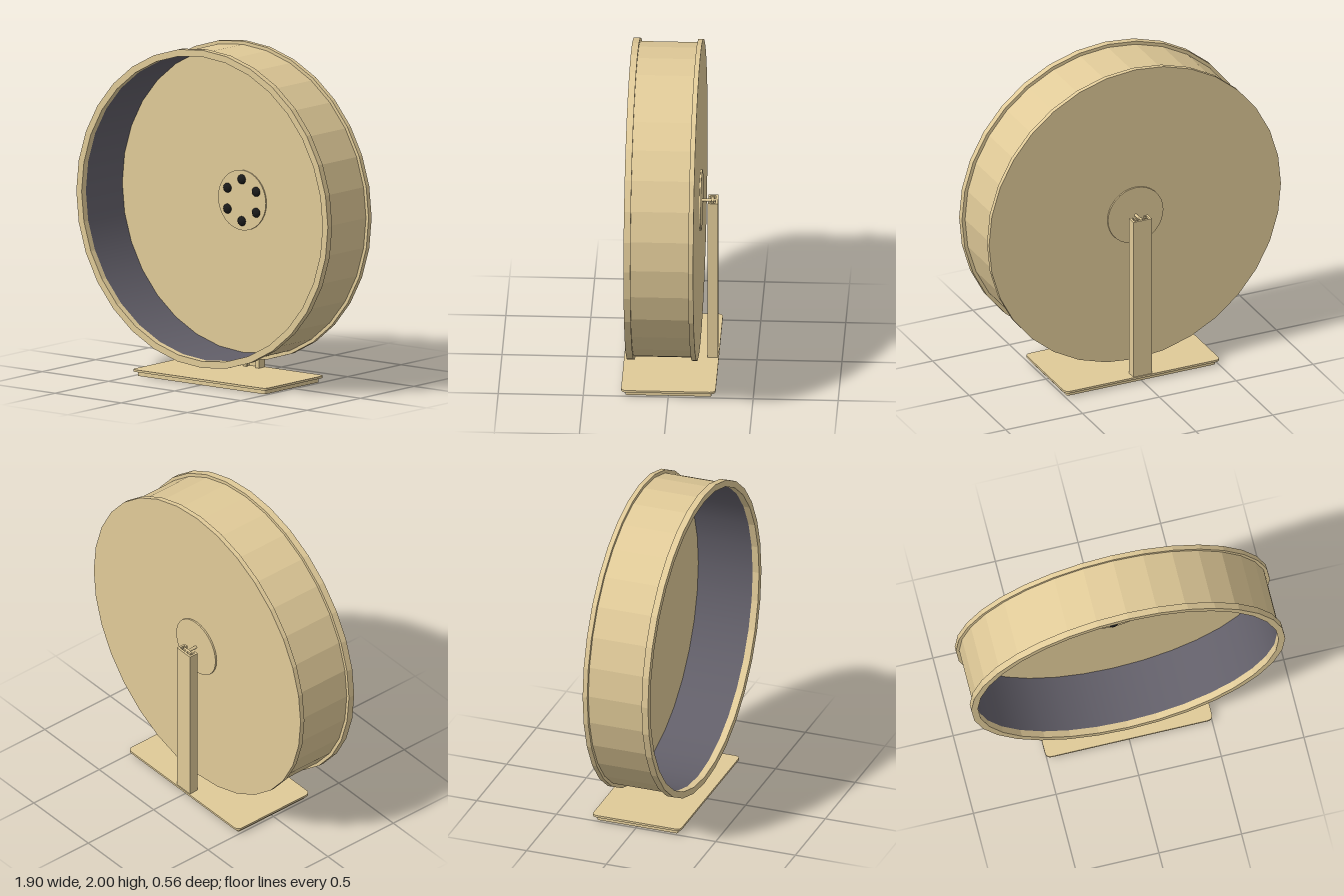
import * as THREE from 'three';

const wood = new THREE.MeshStandardMaterial({ color: 0xe0ca98, flatShading: true });
const lining = new THREE.MeshStandardMaterial({ color: 0x625f69, side: THREE.DoubleSide });
const black = new THREE.MeshStandardMaterial({ color: 0x1a1a1a });
const SIDES = 32;
const AXIS_Y = 1.05;

function add(parent, name, geometry, material = wood) {
  const mesh = new THREE.Mesh(geometry, material);
  mesh.name = name;
  parent.add(mesh);
  return mesh;
}

// Solid ring around the z axis
function ring(rIn, rOut, z0, z1) {
  const profile = [[rIn, z0], [rOut, z0], [rOut, z1], [rIn, z1], [rIn, z0]];
  return new THREE.LatheGeometry(profile.map(p => new THREE.Vector2(...p)), SIDES).rotateX(Math.PI / 2);
}

// Solid disc around the z axis
function disc(r, z0, z1, sides = SIDES) {
  return new THREE.CylinderGeometry(r, r, z1 - z0, sides)
    .rotateX(Math.PI / 2).translate(0, 0, (z0 + z1) / 2);
}

// Rectangle with rounded corners
function roundedRect(w, d, r, Type = THREE.Shape) {
  const s = new Type(), x = w / 2, y = d / 2;
  s.moveTo(-x + r, -y);
  s.lineTo(x - r, -y).quadraticCurveTo(x, -y, x, -y + r);
  s.lineTo(x, y - r).quadraticCurveTo(x, y, x - r, y);
  s.lineTo(-x + r, y).quadraticCurveTo(-x, y, -x, y - r);
  s.lineTo(-x, -y + r).quadraticCurveTo(-x, -y, -x + r, -y);
  return s;
}

// Extrude a floor plan upwards from y0 to y1 (plan y becomes -z)
function upright(shape, y0, y1) {
  return new THREE.ExtrudeGeometry(shape, { depth: y1 - y0, bevelEnabled: false, curveSegments: 5 })
    .rotateX(-Math.PI / 2).translate(0, y0, 0);
}

export function createModel() {
  const model = new THREE.Group();
  model.name = 'runningWheel';

  // Wheel drum
  const wheel = new THREE.Group();
  wheel.name = 'wheel';
  wheel.position.y = AXIS_Y;
  model.add(wheel);
  add(wheel, 'backDisc', disc(0.95, -0.167, -0.138));
  add(wheel, 'barrel', ring(0.914, 0.93, -0.138, 0.205));
  add(wheel, 'frontRim', ring(0.91, 0.95, 0.203, 0.243));
  const liningGeometry = new THREE.CylinderGeometry(0.91, 0.91, 0.341, SIDES, 1, true);
  add(wheel, 'trackLining', liningGeometry.rotateX(Math.PI / 2).translate(0, 0, 0.0325), lining);

  // Hub plates on both faces of the disc, with six screws inside
  add(wheel, 'innerHub', disc(0.18, -0.14, -0.13));
  add(wheel, 'outerHub', disc(0.18, -0.177, -0.165));
  for (let i = 0; i < 6; i++) {
    const a = Math.PI / 2 + i * Math.PI / 3;
    const screw = add(wheel, 'screw', new THREE.SphereGeometry(0.029, 16, 12), black);
    screw.position.set(0.125 * Math.cos(a), 0.125 * Math.sin(a), -0.13);
    screw.scale.z = 0.7;
  }

  // Axle with its cross pin in the post
  add(wheel, 'axle', disc(0.009, -0.262, -0.17, 12));
  add(wheel, 'axlePin', new THREE.BoxGeometry(0.07, 0.016, 0.014).translate(0, 0, -0.24));

  // Post: channel with two lips, open towards the wheel
  const half = [[0.06, 0.272], [0.06, 0.213], [0.035, 0.213], [0.035, 0.225], [0.047, 0.225], [0.047, 0.258]];
  const outline = [...half, ...half.map(([x, y]) => [-x, y]).reverse()].reverse();
  const channel = new THREE.Shape(outline.map(p => new THREE.Vector2(...p)));
  add(model, 'post', upright(channel, 0.035, 1.057));

  // Base: thin top plate on a hollow frame with a recessed underside
  const base = new THREE.Group();
  base.name = 'base';
  model.add(base);
  add(base, 'basePlate', upright(roundedRect(1.01, 0.556, 0.035), 0.027, 0.04));
  const frame = roundedRect(0.965, 0.506, 0.012);
  frame.holes.push(roundedRect(0.885, 0.426, 0.012, THREE.Path));
  add(base, 'baseFrame', upright(frame, 0, 0.027));

  return model;
}
